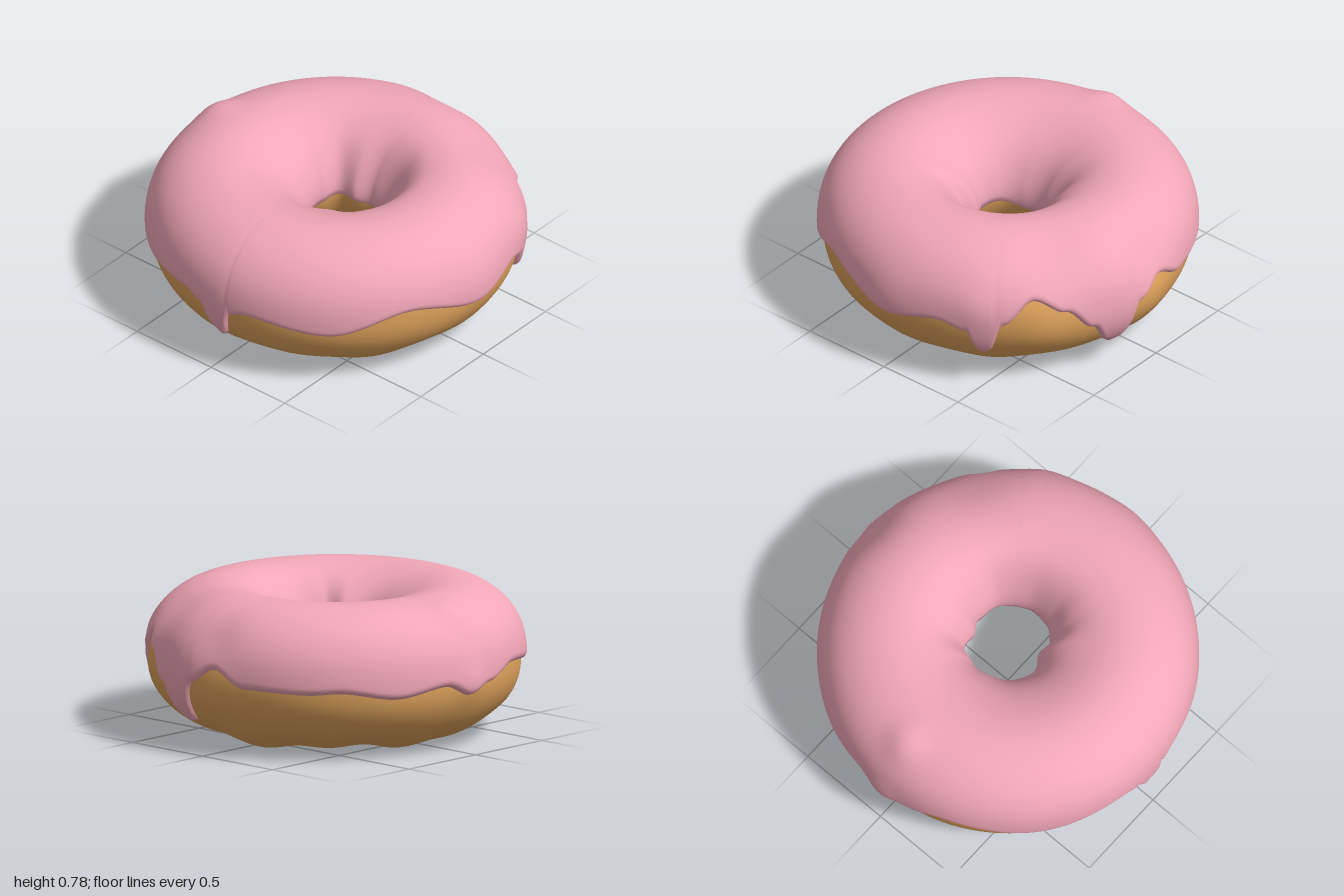
import * as THREE from 'three';
import { mergeVertices } from 'three/addons/utils/BufferGeometryUtils.js';

const RAD = Math.PI / 180;

// Dough cross-section (radius, height): underside, outer wall, crown, hole wall
const profile = new THREE.CatmullRomCurve3([
  [0.6, 0.025], [0.75, 0.07], [0.87, 0.155], [0.945, 0.28], [0.96, 0.42], [0.935, 0.55],
  [0.87, 0.65], [0.76, 0.725], [0.62, 0.757], [0.48, 0.735], [0.36, 0.66], [0.28, 0.55],
  [0.24, 0.42], [0.27, 0.29], [0.36, 0.15], [0.47, 0.05],
].map(([r, y]) => new THREE.Vector3(r, y, 0)), true);
const LENGTH = profile.getLength();

// Lower rim of the icing: [degrees from the front towards +x, height]
const rim = [
  [-6, 0.36], [-1.2, 0.23], [0.5, 0.19], [2.5, 0.19], [3.6, 0.25], [5, 0.36], [12, 0.39],
  [38, 0.34], [63, 0.44], [90, 0.34], [108, 0.39], [117, 0.35], [120, 0.23], [122, 0.21],
  [124.5, 0.23], [128, 0.4], [138, 0.53], [148, 0.45], [157, 0.32], [163, 0.18],
  [165.5, 0.14], [168.5, 0.15], [174, 0.38], [183, 0.46], [194, 0.38], [215, 0.37],
  [225, 0.38], [243, 0.34], [260, 0.38], [269, 0.32], [278, 0.36], [292, 0.42],
  [323, 0.36], [348, 0.39], [354, 0.36],
];

// Radius of the hole around the ring
const hole = [
  [0, 0.19], [33, 0.17], [55, 0.24], [79, 0.265], [111, 0.28], [141, 0.285], [169, 0.255],
  [193, 0.215], [215, 0.24], [241, 0.205], [286, 0.177], [326, 0.18], [360, 0.19],
];

// Soft lumps and dents: [x, y, z, reach, strength]
const lumps = [
  [-0.8, 0.72, 0, 0.1, 0.03], [-0.98, 0.38, 0, 0.09, 0.016], [0.98, 0.42, 0, 0.15, 0.012],
  [0.48, 0.7, -0.7, 0.24, -0.04], [0.87, 0.5, -0.5, 0.12, 0.015],
  [0.6, 0.38, -0.75, 0.17, 0.022], [0, 0.35, -0.96, 0.17, 0.025], [0, 0.62, -0.92, 0.16, -0.025],
];

// Eased interpolation in a table of [degrees, value]
function lookup(table, deg) {
  const i = Math.max(1, table.findIndex(([a]) => a >= deg));
  const [a0, v0] = table[i - 1], [a1, v1] = table[i];
  return THREE.MathUtils.lerp(v0, v1, THREE.MathUtils.smoothstep(deg, a0, a1));
}
const rimAt = (deg) => lookup(rim, deg > 354 ? deg - 360 : deg);

// Point on the ring, lifted off the dough by "lift"
function ringPoint(deg, u, lift) {
  const p = profile.getPointAt(u % 1), t = profile.getTangentAt(u % 1);
  let r = p.x + t.y * lift, y = p.y - t.x * lift;
  r += (lookup(hole, deg) - 0.225) * (1 - THREE.MathUtils.smoothstep(r, 0.22, 0.5));
  // uneven underside, fading out towards the hole
  const a = deg * RAD;
  const low = (1 - THREE.MathUtils.smoothstep(y, 0.02, 0.22)) * THREE.MathUtils.smoothstep(r, 0.38, 0.6);
  y += low * (0.011 * Math.sin(5 * a + 0.6) + 0.009 * Math.sin(11 * a));
  r *= 1 + low * 0.01 * Math.sin(8 * a + 1);
  const v = new THREE.Vector3(r * Math.sin(a), Math.max(0, y), r * Math.cos(a));
  const out = new THREE.Vector3(t.y * Math.sin(a), -t.x, t.y * Math.cos(a));
  const base = v.clone();
  for (const [x, ly, z, reach, k] of lumps) {
    const d2 = (base.x - x) ** 2 + (base.y - ly) ** 2 + (base.z - z) ** 2;
    v.addScaledVector(out, k * Math.exp(-d2 / (reach * reach)));
  }
  return v;
}

// Smooth band round the ring; columnAt(deg) gives a function from 0..1 to points
function ringSurface(name, color, segs, rows, columnAt) {
  const pos = [], index = [];
  for (let i = 0; i < segs; i++) {
    const pointAt = columnAt((i * 360) / segs);
    for (let j = 0; j <= rows; j++) pos.push(...pointAt(j / rows).toArray());
  }
  for (let i = 0; i < segs; i++) {
    for (let j = 0; j < rows; j++) {
      const a = i * (rows + 1) + j, b = ((i + 1) % segs) * (rows + 1) + j;
      index.push(a, b, b + 1, a, b + 1, a + 1);
    }
  }
  const grid = new THREE.BufferGeometry();
  grid.setAttribute('position', new THREE.Float32BufferAttribute(pos, 3));
  grid.setIndex(index);
  const geo = mergeVertices(grid, 1e-5);
  geo.computeVertexNormals();
  const mesh = new THREE.Mesh(geo, new THREE.MeshStandardMaterial({ color, side: THREE.DoubleSide }));
  mesh.name = name;
  return mesh;
}

// Profile position on the outer wall at a given height
function outerU(height) {
  let lo = 0, hi = 0.45;
  for (let k = 0; k < 20; k++) {
    const mid = (lo + hi) / 2;
    if (profile.getPointAt(mid).y < height) lo = mid; else hi = mid;
  }
  return lo;
}

// Icing: follows the dough from the wavy outer rim over the crown into the hole
function icingColumn(deg) {
  const start = outerU(rimAt(deg));
  const end = 0.768 + 0.008 * Math.sin(deg * RAD * 3);
  // rounded lip, slightly wider along the flanks of the drips
  const slope = (rimAt((deg + 0.8) % 360) - rimAt((deg + 359.2) % 360)) / (1.6 * RAD * 0.96);
  const flank = Math.sqrt(1 + Math.min(slope * slope, 3));
  return (s) => {
    const u = start + (end - start) * s ** 1.5;
    const d = Math.min((u - start) / flank, end - u) * LENGTH;
    const k = THREE.MathUtils.clamp(d / 0.04, 0, 1);
    return ringPoint(deg, u, -0.012 + 0.042 * Math.sqrt(1 - (1 - k) ** 2));
  };
}

export function createModel() {
  const group = new THREE.Group();
  group.name = 'doughnut';
  group.add(ringSurface('dough', 0xe0a35c, 120, 64, (deg) => (s) => ringPoint(deg, s, 0)));
  group.add(ringSurface('icing', 0xf2a7b8, 360, 64, icingColumn));
  return group;
}
